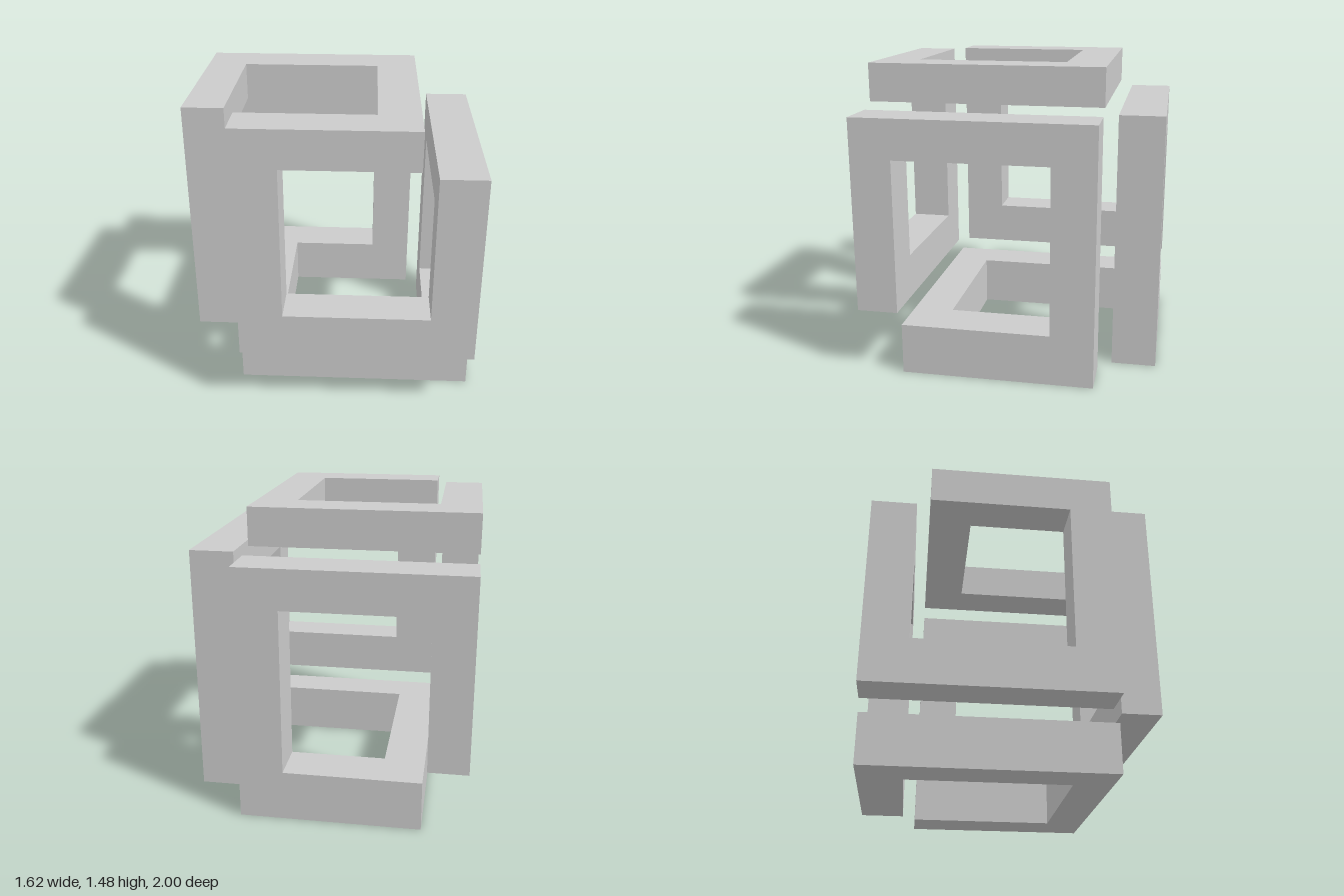
import * as THREE from 'three';

const material = new THREE.MeshStandardMaterial({ color: 0xcccccc, flatShading: true });

// Extrudes a straight-sided outline to the given thickness.
function slab(name, outline, thickness) {
  const shape = new THREE.Shape(outline.map(([a, b]) => new THREE.Vector2(a, b)));
  const geometry = new THREE.ExtrudeGeometry(shape, { depth: thickness, bevelEnabled: false });
  const mesh = new THREE.Mesh(geometry, material);
  mesh.name = name;
  return mesh;
}

// Horizontal slab: outline in (x, z).
function plate(name, y0, y1, outline) {
  const mesh = slab(name, outline, y1 - y0);
  mesh.rotation.x = Math.PI / 2;
  mesh.position.y = y1;
  return mesh;
}

// Wall along x: outline in (x, y).
function wallX(name, z0, z1, outline) {
  const mesh = slab(name, outline, z1 - z0);
  mesh.position.z = z0;
  return mesh;
}

// Wall along z: outline in (z, y).
function wallZ(name, x0, x1, outline) {
  const mesh = slab(name, outline, x1 - x0);
  mesh.rotation.y = -Math.PI / 2;
  mesh.position.x = x1;
  return mesh;
}

// Arch with one short leg (a0..a1) and one long leg (b0..b1).
const arch = (a0, a1, b0, b1) => [
  [a0, 0.31], [a1, 0.31], [a1, 1.065], [b0, 1.065],
  [b0, 0.25], [b1, 0.25], [b1, 1.26], [a0, 1.26],
];

// Upright post (a0..a1) with a foot bar reaching to b.
const elbow = (a0, a1, b) => [
  [a0, 0.31], [b, 0.31], [b, 0.53], [a1, 0.53], [a1, 1.29], [a0, 1.29],
];

export function createModel() {
  const model = new THREE.Group();
  model.name = 'foldedBarCube';

  // The cube is laid out square, then turned onto its corner.
  const cube = new THREE.Group();
  cube.name = 'continuousBar';
  cube.rotation.y = Math.PI / 4;
  model.add(cube);

  cube.add(
    // Top ring, open at the left corner
    plate('topRing', 1.29, 1.478, [
      [-0.71, -0.44], [-0.71, 0.405], [0.445, 0.405], [0.445, -0.686], [-0.457, -0.686],
      [-0.457, -0.49], [0.235, -0.49], [0.235, 0.205], [-0.51, 0.205], [-0.51, -0.44],
    ]),
    // Bottom ring, open at the right corner
    plate('bottomRing', 0, 0.25, [
      [0.445, 0.7], [-0.49, 0.7], [-0.49, -0.47], [0.728, -0.47], [0.728, 0.417],
      [0.51, 0.417], [0.51, -0.27], [-0.295, -0.27], [-0.295, 0.48], [0.445, 0.48],
    ]),
    // Arches rising from the bottom ring
    wallX('frontArch', 0.48, 0.7, arch(-0.71, -0.51, 0.235, 0.445)),
    wallZ('backArch', 0.51, 0.728, arch(-0.686, -0.49, 0.2, 0.417)),
    // Elbows linking the arches to the top ring
    wallZ('frontElbow', -0.71, -0.51, elbow(-0.44, -0.225, 0.48)),
    wallX('backElbow', -0.686, -0.49, elbow(-0.457, -0.247, 0.51)),
  );

  return model;
}
